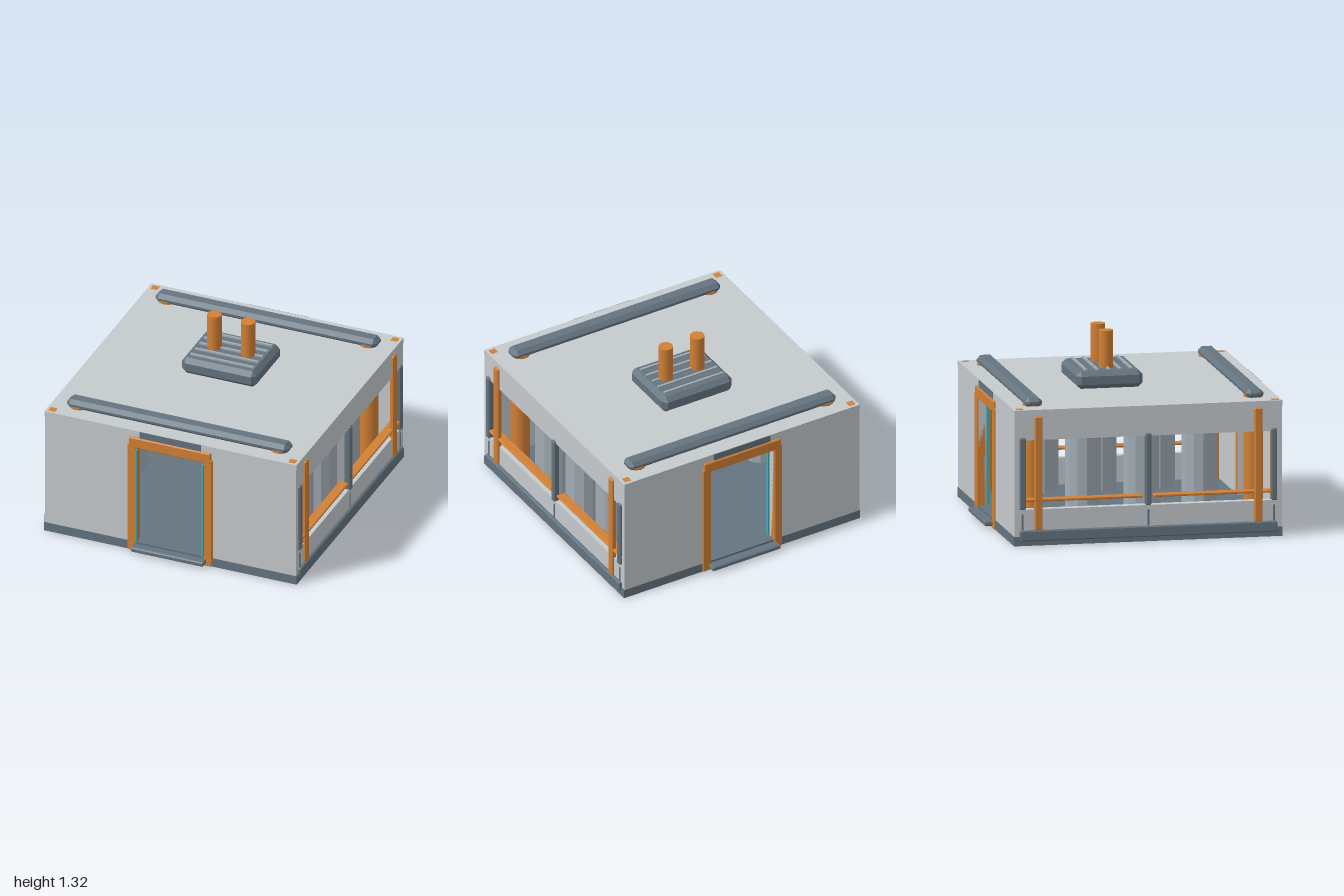
import * as THREE from 'three';
import { ConvexGeometry } from 'three/addons/geometries/ConvexGeometry.js';

const material = (name, color) => {
  const m = new THREE.MeshStandardMaterial({ color });
  m.name = name;
  return m;
};

// Box with flat 45 degree chamfers
function chamferBox(w, h, d, c) {
  const pts = [];
  for (const x of [-1, 1]) for (const y of [-1, 1]) for (const z of [-1, 1]) {
    const [a, b, e] = [w / 2, h / 2, d / 2];
    pts.push(new THREE.Vector3(x * a, y * (b - c), z * (e - c)));
    pts.push(new THREE.Vector3(x * (a - c), y * b, z * (e - c)));
    pts.push(new THREE.Vector3(x * (a - c), y * (b - c), z * e));
  }
  return new ConvexGeometry(pts);
}

export function createModel() {
  const wall = material('pale wall', 0xc5cacd);
  const slate = material('slate metal', 0x65747f);
  const orange = material('orange trim', 0xd18034);
  const teal = material('teal light', 0x2fb6c6);
  const steel = material('steel tank', 0xa3adb5);
  const group = new THREE.Group();

  const add = (name, geo, mat, x = 0, y = 0, z = 0, parent = group) => {
    const mesh = new THREE.Mesh(geo, mat);
    mesh.name = name;
    mesh.position.set(x, y, z);
    parent.add(mesh);
    return mesh;
  };
  // Box given by its min and max on each axis
  const box = (name, mat, x0, x1, y0, y1, z0, z1, c = 0) => {
    const [w, h, d] = [x1 - x0, y1 - y0, z1 - z0];
    const geo = c ? chamferBox(w, h, d, c) : new THREE.BoxGeometry(w, h, d);
    return add(name, geo, mat, (x0 + x1) / 2, (y0 + y1) / 2, (z0 + z1) / 2);
  };
  // Box placed by its centre
  const block = (name, mat, x, y, z, w, h, d, c = 0) =>
    box(name, mat, x - w / 2, x + w / 2, y - h / 2, y + h / 2, z - d / 2, z + d / 2, c);

  // Floor and roof
  box('floor', slate, -0.935, 0.935, 0, 0.065, -0.935, 0.935);
  box('roof', wall, -0.933, 0.933, 0.9, 0.94, -0.933, 0.933);

  // End walls with a doorway
  const outline = new THREE.Shape([
    [-0.93, 0.06], [-0.25, 0.06], [-0.25, 0.81], [0.25, 0.81],
    [0.25, 0.06], [0.93, 0.06], [0.93, 0.905], [-0.93, 0.905],
  ].map(([x, y]) => new THREE.Vector2(x, y)));
  const endWall = new THREE.ExtrudeGeometry(outline, { depth: 0.06, bevelEnabled: false });

  for (const s of [1, -1]) {
    add('endWall', endWall, wall, 0, 0, s > 0 ? 0.872 : -0.932);

    // Door frame, step, vent and light strips
    for (const k of [1, -1]) {
      block('doorJamb', orange, k * 0.282, 0.42, s * 0.908, 0.064, 0.84, 0.076, 0.006);
      block('doorLight', teal, k * 0.246, 0.435, s > 0 ? 0.943 : -0.865, 0.012, 0.73, 0.024);
    }
    block('doorLintel', orange, 0, 0.85, s * 0.909, 0.605, 0.08, 0.078, 0.006);
    block('doorStep', slate, 0, 0.035, s * 0.965, 0.54, 0.035, 0.07, 0.008);
    block('doorVent', slate, 0, 0.914, s * 0.932, 0.45, 0.05, 0.01);

    // Roof beam
    block('roofBeam', slate, 0, 0.965, s * 0.77, 1.64, 0.07, 0.12, 0.027);

    // Side wall around the long window
    block('sideWallLower', wall, s * 0.9, 0.155, 0, 0.06, 0.19, 1.75);
    block('sideWallUpper', wall, s * 0.9, 0.818, 0, 0.06, 0.175, 1.75);

    // Side trim
    block('sideSkirt', slate, s * 0.935, 0.07, 0, 0.034, 0.075, 1.79, 0.008);
    for (const z of [-0.875, 0, 0.875]) {
      block('windowPost', slate, s * 0.924, 0.5, z, 0.045, 0.5, 0.042, 0.008);
      block('panelSeam', slate, s * 0.931, 0.165, z, 0.008, 0.11, 0.012);
    }
    for (const k of [1, -1]) {
      block('sidePilaster', orange, s * 0.928, 0.5, k * 0.765, 0.036, 0.79, 0.056, 0.008);
      block('windowRail', orange, s * 0.905, 0.313, k * 0.47, 0.07, 0.018, 0.86, 0.005);
      // Inner column and corner post
      add('innerColumn', new THREE.CylinderGeometry(0.067, 0.067, 0.89, 12).toNonIndexed(),
        orange, s * 0.745, 0.51, k * 0.77);
      block('cornerPost', orange, s * 0.888, 0.47, k * 0.888, 0.05, 0.941, 0.05);
    }

    // Row of tanks under a light panel
    for (const z of [-0.405, 0, 0.405]) {
      const geo = new THREE.CylinderGeometry(0.125, 0.125, 0.715, 12).toNonIndexed();
      geo.computeVertexNormals();
      add('tank', geo, steel, s * 0.7, 0.418, z);
    }
    block('tankLight', teal, s * 0.7, 0.787, 0, 0.26, 0.03, 1.3);
  }

  // Rooftop unit with slats and two stacks
  box('roofUnit', slate, -0.278, 0.275, 0.938, 1.06, -0.357, 0.105, 0.032);
  for (let i = 0; i < 5; i++) {
    block('roofSlat', steel, 0, 1.062, -0.285 + i * 0.079, 0.47, 0.02, 0.016);
  }
  for (const x of [-0.125, 0.125]) {
    add('exhaustStack', new THREE.CylinderGeometry(0.05, 0.05, 0.28, 16), orange, x, 1.18, -0.127);
  }
  return group;
}
